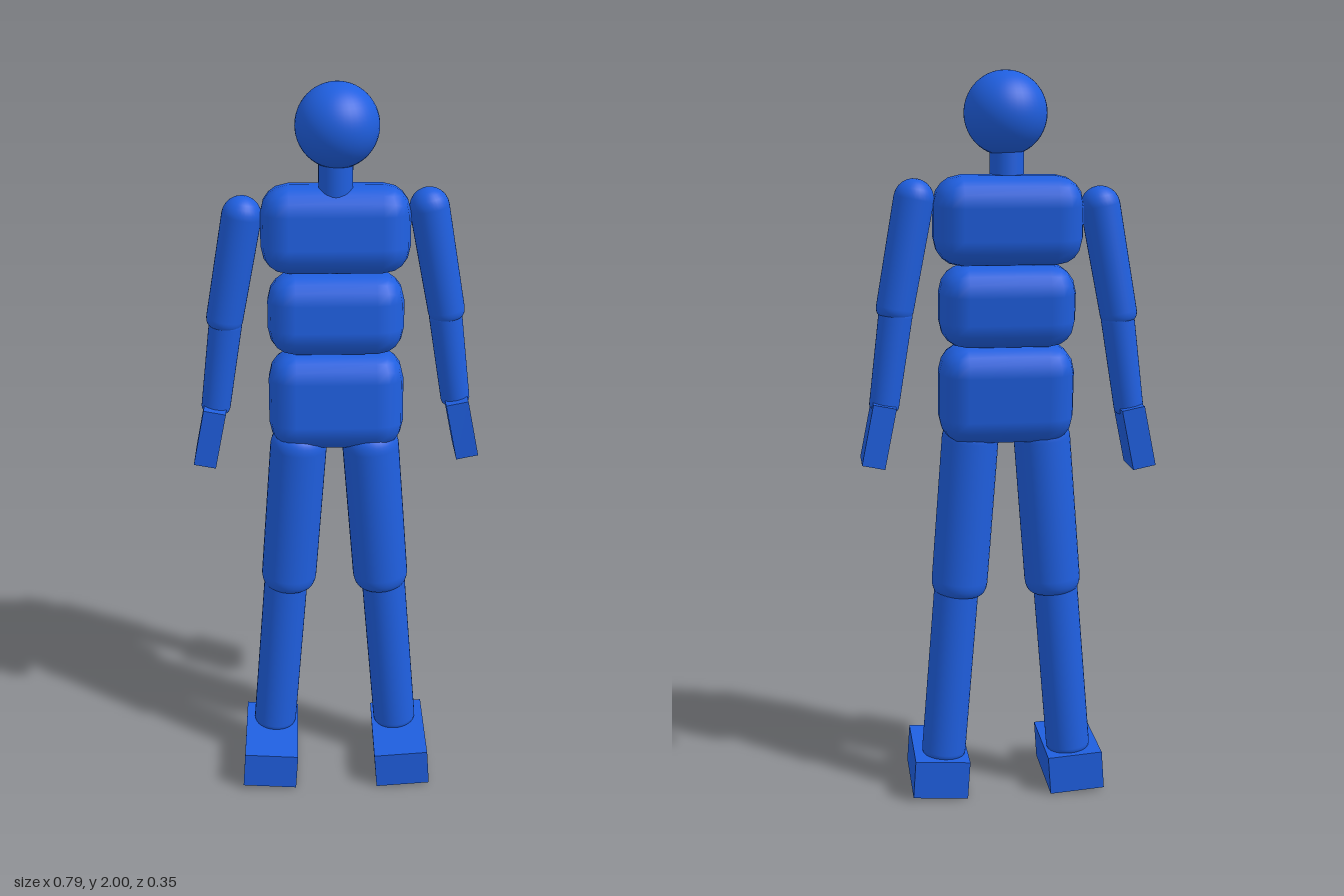
import * as THREE from 'three';
import { RoundedBoxGeometry } from 'three/addons/geometries/RoundedBoxGeometry.js';

export function createModel() {
  const model = new THREE.Group();
  model.name = 'jointedFigure';
  const material = new THREE.MeshStandardMaterial({ color: 0x1f5fe0 });

  function add(name, geometry, x, y, z, parent = model) {
    const mesh = new THREE.Mesh(geometry, material);
    mesh.name = name;
    mesh.position.set(x, y, z);
    parent.add(mesh);
    return mesh;
  }

  // Round bar from a to b, with elliptical caps inside its length
  function limb(name, a, b, rA, rB, capA, capB, parent) {
    const from = new THREE.Vector3(...a);
    const dir = new THREE.Vector3(...b).sub(from);
    const length = dir.length();
    const profile = [];
    const steps = 6;
    for (let i = 0; i <= steps; i++) {
      const t = (i / steps) * Math.PI / 2;
      profile.push(new THREE.Vector2(rA * (capA < rA * 0.8 ? 0.75 + 0.25 * Math.sin(t) : Math.sin(t)), capA * (1 - Math.cos(t))));
    }
    for (let i = steps; i >= 0; i--) {
      const t = (i / steps) * Math.PI / 2;
      profile.push(new THREE.Vector2(rB * (0.75 + 0.25 * Math.sin(t)), length - capB * (1 - Math.cos(t))));
    }
    // close both ends on the axis
    if (profile[0].x > 1e-4) profile.unshift(new THREE.Vector2(0, 0));
    profile.push(new THREE.Vector2(0, length));
    const mesh = add(name, new THREE.LatheGeometry(profile, 32), ...a, parent);
    mesh.quaternion.setFromUnitVectors(new THREE.Vector3(0, 1, 0), dir.normalize());
    return mesh;
  }

  // Head and neck
  add('head', new THREE.SphereGeometry(0.109, 40, 28), 0.004, 1.891, -0.064);
  add('neck', new THREE.CylinderGeometry(0.045, 0.045, 0.16, 32), 0, 1.75, -0.061);

  // Torso blocks, leaning slightly back
  const torso = [
    ['chest', 0.395, 0.235, 0.186, 1.617, -0.08],
    ['abdomen', 0.365, 0.222, 0.186, 1.392, -0.059],
    ['pelvis', 0.365, 0.27, 0.192, 1.155, -0.037],
  ];
  for (const [name, w, h, d, y, z] of torso) {
    const block = add(name, new RoundedBoxGeometry(w, h, d, 2, 0.075), 0, y, z);
    block.rotation.x = -0.1;
  }

  // Arms and legs; the left arm sits a little higher than the right
  for (const s of [1, -1]) {
    const side = s > 0 ? 'left' : 'right';
    const lift = s > 0 ? 0.015 : -0.005;

    const arm = new THREE.Group();
    arm.name = side + 'Arm';
    arm.position.y = lift;
    model.add(arm);
    limb('upperArm', [s * 0.236, 1.71, -0.08], [s * 0.303, 1.352, -0.08], 0.053, 0.05, 0.053, 0.025, arm);
    limb('forearm', [s * 0.295, 1.375, -0.08], [s * 0.333, 1.105, -0.08], 0.045, 0.04, 0.02, 0.015, arm);
    const hand = add('hand', new THREE.BoxGeometry(0.062, 0.165, 0.126), s * 0.348, 1.043, -0.08, arm);
    hand.rotation.z = s * 0.2;

    const leg = new THREE.Group();
    leg.name = side + 'Leg';
    leg.position.x = s > 0 ? -0.003 : -0.006;
    model.add(leg);
    limb('thigh', [s * 0.095, 1.06, -0.013], [s * 0.132, 0.585, -0.013], 0.078, 0.078, 0.04, 0.04, leg);
    limb('shin', [s * 0.137, 0.615, -0.013], [s * 0.179, 0.105, -0.013], 0.062, 0.062, 0.02, 0.02, leg);
    const foot = add('foot', new THREE.BoxGeometry(0.154, 0.108, 0.267), s * 0.19, 0.06, 0.043, leg);
    foot.rotation.z = s * 0.07;
  }

  return model;
}
